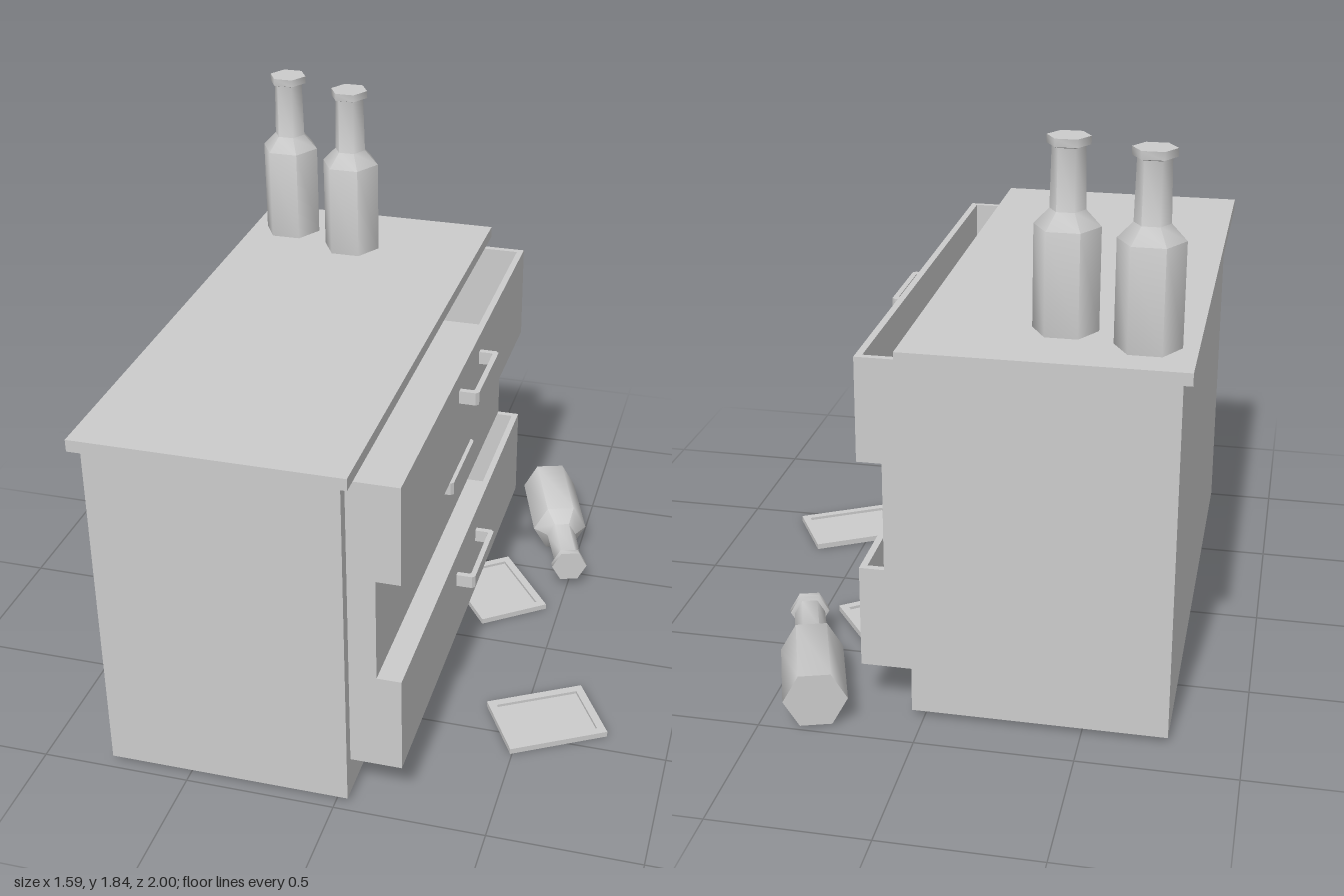
import * as THREE from 'three';
import { toCreasedNormals } from 'three/addons/utils/BufferGeometryUtils.js';

const grey = new THREE.MeshStandardMaterial({ color: 0xcccccc });

function add(parent, name, geometry) {
  const mesh = new THREE.Mesh(geometry, grey);
  mesh.name = name;
  parent.add(mesh);
  return mesh;
}

// Box given by its minimum and maximum along each axis
function box(parent, name, [x0, x1], [y0, y1], [z0, z1]) {
  const mesh = add(parent, name, new THREE.BoxGeometry(x1 - x0, y1 - y0, z1 - z0));
  mesh.position.set((x0 + x1) / 2, (y0 + y1) / 2, (z0 + z1) / 2);
  return mesh;
}

function extrude(points, depth, hole) {
  const toV = (list) => list.map(([x, y]) => new THREE.Vector2(x, y));
  const shape = new THREE.Shape(toV(points));
  if (hole) shape.holes.push(new THREE.Path(toV(hole)));
  return new THREE.ExtrudeGeometry(shape, { depth, bevelEnabled: false });
}

function makeCabinet() {
  const g = new THREE.Group();
  g.name = 'cabinet';
  box(g, 'top', [-0.8, 0.07], [1.2, 1.24], [-0.89, 1]);
  box(g, 'rightSide', [-0.77, 0.04], [0.15, 1.2], [-0.85, -0.82]);
  box(g, 'leftSide', [-0.77, 0.04], [0.15, 1.2], [0.93, 0.97]);
  box(g, 'backPanel', [-0.77, -0.68], [0.02, 1.2], [-0.85, 0.97]);
  // Plinth with a wide, slant-sided recess open at the front and below
  const plinth = extrude([
    [-0.97, 0.02], [-0.63, 0.02], [-0.56, 0.085], [0.45, 0.085],
    [0.52, 0.02], [0.85, 0.02], [0.85, 0.15], [-0.97, 0.15],
  ], 0.72);
  plinth.rotateY(Math.PI / 2).translate(-0.68, 0, 0);
  add(g, 'plinth', plinth);
  return g;
}

// Open-topped drawer with its front face at x = front
function makeDrawer(front, y0, y1, handleTop) {
  const g = new THREE.Group();
  g.name = 'drawer';
  const back = front - 0.75, z0 = -0.82, z1 = 0.93, t = 0.022;
  box(g, 'drawerFront', [front - t, front], [y0, y1], [z0, z1]);
  box(g, 'drawerBack', [back, back + t], [y0, y1], [z0, z1]);
  box(g, 'drawerSide', [back + t, front - t], [y0, y1], [z0, z0 + t]);
  box(g, 'drawerSide', [back + t, front - t], [y0, y1], [z1 - t, z1]);
  box(g, 'drawerFloor', [back + t, front - t], [y0, y0 + t], [z0 + t, z1 - t]);
  // U-shaped pull with chamfered corners
  const pull = extrude([
    [0, -0.1], [0.055, -0.1], [0.065, -0.09], [0.065, 0.2], [0.055, 0.21], [0, 0.21],
    [0, 0.19], [0.042, 0.19], [0.047, 0.185], [0.047, -0.075], [0.042, -0.08], [0, -0.08],
  ], 0.045);
  pull.rotateX(Math.PI / 2);
  add(g, 'handle', pull).position.set(front, handleTop, 0);
  return g;
}

// Six-sided bottle standing on its base, corners toward +x and -x
function makeBottle() {
  const profile = [
    [0, 0], [0.102, 0], [0.102, 0.325], [0.055, 0.375], [0.051, 0.565],
    [0.066, 0.57], [0.066, 0.595], [0, 0.595],
  ].map(([r, y]) => new THREE.Vector2(r, y));
  const g = new THREE.Group();
  g.name = 'bottle';
  const lathe = new THREE.LatheGeometry(profile, 6, Math.PI / 2);
  add(g, 'bottleBody', toCreasedNormals(lathe, 1.1));
  return g;
}

// Picture frame lying flat, with a recessed panel
function makeFrame(x, z, angle) {
  const g = new THREE.Group();
  g.name = 'pictureFrame';
  const rect = (w, h) => [[-w, -h], [w, -h], [w, h], [-w, h]];
  const border = extrude(rect(0.172, 0.13), 0.02, rect(0.145, 0.103));
  border.rotateX(-Math.PI / 2);
  add(g, 'frameBorder', border);
  box(g, 'framePanel', [-0.145, 0.145], [0.005, 0.01], [-0.103, 0.103]);
  g.position.set(x, 0, z);
  g.rotation.y = angle;
  return g;
}

export function createModel() {
  const model = new THREE.Group();
  model.name = 'chestOfDrawers';
  model.add(makeCabinet());

  // Drawers pulled out by different amounts
  for (const [front, y0, y1, handleTop] of [
    [0.21, 0.15, 0.49, 0.41], [0.13, 0.49, 0.85, 0.775], [0.21, 0.85, 1.19, 1.13],
  ]) model.add(makeDrawer(front, y0, y1, handleTop));

  // Two bottles on top, one lying on the ground
  for (const [x, z] of [[-0.65, -0.69], [-0.39, -0.59]]) {
    const bottle = makeBottle();
    bottle.position.set(x, 1.24, z);
    model.add(bottle);
  }
  const fallen = makeBottle();
  fallen.name = 'fallenBottle';
  fallen.position.set(0.32, 0.093, -0.97);
  fallen.rotation.set(Math.PI / 2, 0.32, 0, 'YXZ');
  model.add(fallen);

  // Frames on the ground
  model.add(makeFrame(0.578, 0.403, 0.523), makeFrame(0.245, -0.302, -0.937));
  return model;
}
